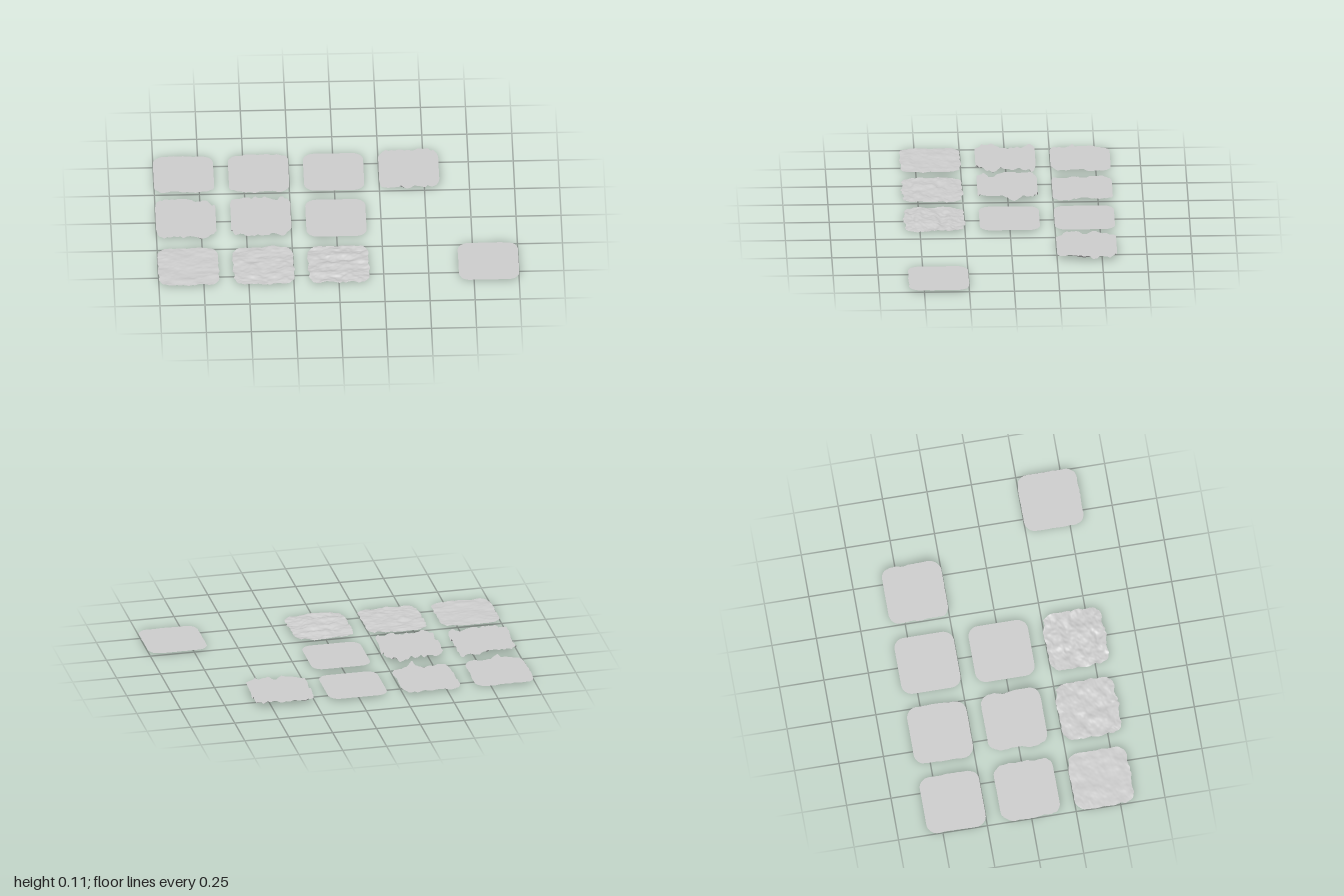
import * as THREE from 'three';

const HALF = 0.167, RADIUS = 0.06, STEP = 0.4167, LEVEL = 0.03, N = 56;

// Small seeded value noise with smooth interpolation, result in -1..1
function hash(i, j, seed) {
  const s = Math.sin(i * 127.1 + j * 311.7 + seed * 74.7) * 43758.5453;
  return (s - Math.floor(s)) * 2 - 1;
}
function noise(x, z, seed) {
  const i = Math.floor(x), j = Math.floor(z);
  const u = THREE.MathUtils.smoothstep(x - i, 0, 1), v = THREE.MathUtils.smoothstep(z - j, 0, 1);
  const a = THREE.MathUtils.lerp(hash(i, j, seed), hash(i + 1, j, seed), u);
  const b = THREE.MathUtils.lerp(hash(i, j + 1, seed), hash(i + 1, j + 1, seed), u);
  return THREE.MathUtils.lerp(a, b, v);
}
function fractal(x, z, seed) {
  return noise(x, z, seed) * 0.6 + noise(x * 2.1, z * 2.1, seed + 3) * 0.3 + noise(x * 4.3, z * 4.3, seed + 7) * 0.15;
}
const ridge = (x, z, seed) => 1 - Math.abs(fractal(x, z, seed)) * 2;

// Height rules, in local tile coordinates
const flat = () => LEVEL;
const ripples = (amount, seed) => (x, z) => LEVEL + amount * fractal(x * 16, z * 24, seed);
const mountain = (px, pz, peak, sharp, rough, seed) => (x, z) => {
  const d = Math.hypot(x - px, z - pz) * (1 + 0.35 * fractal(x * 14, z * 14, seed));
  const foot = 0.026 + rough * fractal(x * 18, z * 18, seed + 1);
  return Math.max(0.014, foot + (peak - 0.028) * Math.exp(-d / sharp));
};
const crags = (base, amount, low, high, seed) => (x, z) =>
  THREE.MathUtils.clamp(base + amount * ridge(x * 13, z * 13, seed), low, high);
const mesa = (x, z) => {
  const fall = x > 0 && z < 0 ? 0.014 : 0;
  const h = 0.037 + 0.034 * ridge(x * 11, z * 11, 31) - fall * ridge(x * 20, z * 20, 5);
  return THREE.MathUtils.clamp(h, 0.004, 0.06);
};

// One open sheet with rounded corners, its height given by a rule
function tileGeometry(height, wobble, smooth) {
  const g = new THREE.PlaneGeometry(2 * HALF, 2 * HALF, N, N).rotateX(-Math.PI / 2);
  const p = g.attributes.position, core = HALF - RADIUS;
  for (let i = 0; i < p.count; i++) {
    let x = p.getX(i), z = p.getZ(i);
    const cx = Math.max(0, Math.abs(x) - core), cz = Math.max(0, Math.abs(z) - core);
    if (cx > 0 && cz > 0) { // squeeze the square corner onto an arc
      const k = Math.max(cx, cz) / Math.hypot(cx, cz);
      x = Math.sign(x) * (core + cx * k);
      z = Math.sign(z) * (core + cz * k);
    }
    const y = height(x, z);
    const edge = THREE.MathUtils.smoothstep(Math.max(Math.abs(x), Math.abs(z)), 0.1, HALF);
    const dx = wobble * edge * fractal(x * 20, z * 26, 51), dz = wobble * edge * fractal(x * 26, z * 20, 87);
    p.setXYZ(i, x + dx, y, z + dz);
  }
  if (smooth) g.computeVertexNormals();
  else for (let i = 0; i < p.count; i++) g.attributes.normal.setXYZ(i, 0, 1, 0);
  return g;
}

export function createModel() {
  const model = new THREE.Group();
  model.name = 'terrainTiles';
  const stone = new THREE.MeshStandardMaterial({ color: 0xcccccc, side: THREE.DoubleSide });
  stone.name = 'lightGrey';

  // name, column, row, height rule, edge wobble, smooth shaded
  const tiles = [
    ['broadMountainTile', -2, -1, mountain(0, 0.045, 0.13, 0.062, 0.01, 11), 0, false],
    ['spireMountainTile', -1, -1, mountain(0.075, 0.027, 0.14, 0.05, 0.016, 23), 0, false],
    ['flatTileBack', 0, -1, flat, 0, false],
    ['hillTile', 1, -1, crags(0.028, 0.027, 0.03, 0.06, 17), 0, false],
    ['cragTile', -2, 0, crags(0.028, 0.026, 0.018, 0.055, 41), 0, false],
    ['mesaTile', -1, 0, mesa, 0, false],
    ['flatTileMiddle', 0, 0, flat, 0, false],
    ['gentleRippleTile', -2, 1, ripples(0.005, 61), 0.008, true],
    ['rippleTile', -1, 1, ripples(0.008, 67), 0.012, true],
    ['roughRippleTile', 0, 1, ripples(0.011, 71), 0.012, true],
    ['separateFlatTile', 2, 1, flat, 0.003, false],
  ];
  for (const [name, column, row, height, wobble, smooth] of tiles) {
    const tile = new THREE.Mesh(tileGeometry(height, wobble, smooth), stone);
    tile.name = name;
    tile.position.set(column * STEP, 0, row * STEP);
    model.add(tile);
  }
  return model;
}
